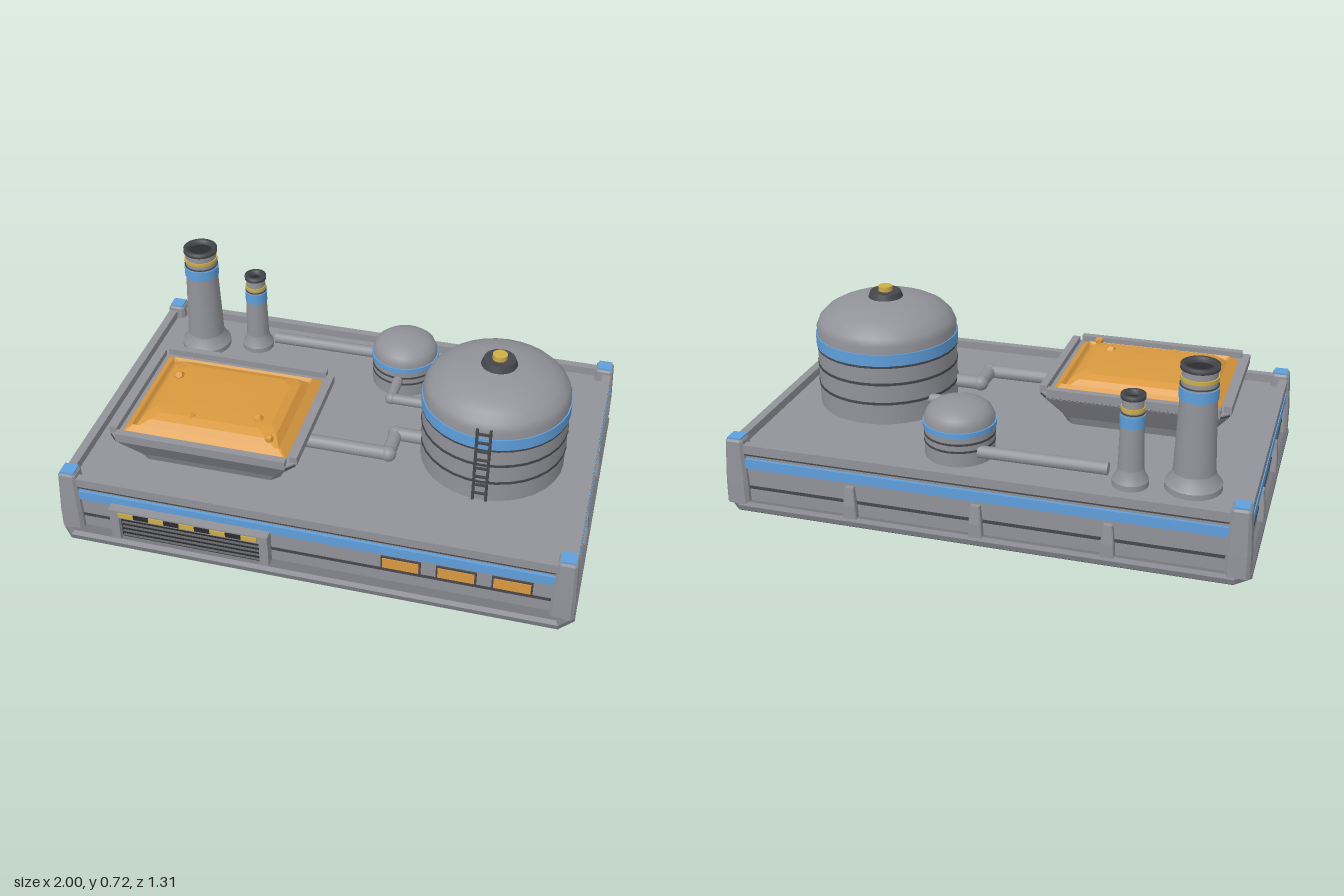
import * as THREE from 'three';

const mat = (name, color) => {
  const m = new THREE.MeshStandardMaterial({ color });
  m.name = name;
  return m;
};

// Stack of chamfered rectangles [halfX, halfZ, y, chamfer], faceted and capped
function loft(rings) {
  const pos = [];
  const loops = rings.map(([a, b, y, c = 0.004]) => [
    [a, y, -b + c], [a, y, b - c], [a - c, y, b], [-a + c, y, b],
    [-a, y, b - c], [-a, y, -b + c], [-a + c, y, -b], [a - c, y, -b],
  ]);
  const tri = (...p) => p.forEach((q) => pos.push(...q));
  const last = loops.length - 1;
  for (let i = 0; i < 8; i++) {
    const j = (i + 1) % 8;
    for (let k = 0; k < last; k++) {
      const a = loops[k][i], b = loops[k][j], c = loops[k + 1][j], d = loops[k + 1][i];
      tri(a, d, c);
      tri(a, c, b);
    }
    tri([0, rings[0][2], 0], loops[0][i], loops[0][j]);
    tri([0, rings[last][2], 0], loops[last][j], loops[last][i]);
  }
  const g = new THREE.BufferGeometry();
  g.setAttribute('position', new THREE.Float32BufferAttribute(pos, 3));
  g.computeVertexNormals();
  return g;
}

const lathe = (pts, n = 32) =>
  new THREE.LatheGeometry(pts.map(([r, y]) => new THREE.Vector2(r, y)), n);
const box = (x, y, z) => new THREE.BoxGeometry(x, y, z);
// Closed band from y0 to y1
const band = (r, y0, y1, n = 32) =>
  new THREE.CylinderGeometry(r, r, y1 - y0, n).translate(0, (y0 + y1) / 2, 0);

export function createModel() {
  const gray = mat('steel gray', 0x929399);
  const mid = mat('base gray', 0x77787e);
  const dark = mat('dark metal', 0x46474c);
  const black = mat('black', 0x2b2c2f);
  const blue = mat('blue trim', 0x5f9fdc);
  const orange = mat('orange', 0xd9993f);
  const yellow = mat('yellow', 0xcfae48);

  const model = new THREE.Group();
  model.name = 'industrialPlant';
  const group = (name, x = 0, y = 0, z = 0) => {
    const g = new THREE.Group();
    g.name = name;
    g.position.set(x, y, z);
    model.add(g);
    return g;
  };
  const add = (parent, name, geo, m, x = 0, y = 0, z = 0) => {
    const mesh = new THREE.Mesh(geo, m);
    mesh.name = name;
    mesh.position.set(x, y, z);
    parent.add(mesh);
    return mesh;
  };

  // Base slab and walled platform
  add(model, 'baseSlab', loft([
    [0.99, 0.645, 0, 0.05], [1, 0.655, 0.008, 0.055], [1, 0.655, 0.026, 0.055], [0.985, 0.64, 0.037, 0.05],
  ]), mid);
  const platform = group('platform', 0, 0, -0.012);
  add(platform, 'wallsAndDeck', loft([[0.97, 0.61, 0.03], [0.97, 0.61, 0.24]]), gray);
  add(platform, 'wallGroove', loft([[0.973, 0.613, 0.088], [0.973, 0.613, 0.1]]), dark);
  add(platform, 'blueStripe', loft([[0.982, 0.622, 0.177], [0.982, 0.622, 0.216]]), blue);
  for (const s of [-1, 1]) {
    add(platform, 'longRail', box(1.9, 0.037, 0.032), gray, 0, 0.2555, s * 0.604);
    add(platform, 'sideRail', box(0.034, 0.037, 1.2), gray, s * 0.963, 0.2555, 0);
    add(platform, 'longRailSeam', box(1.9, 0.006, 0.034), dark, 0, 0.234, s * 0.603);
    add(platform, 'sideRailSeam', box(0.036, 0.006, 1.2), dark, s * 0.962, 0.234, 0);
    for (const t of [-1, 1]) {
      add(platform, 'cornerPost', loft([
        [0.045, 0.045, 0.03, 0.012], [0.044, 0.044, 0.12, 0.012], [0.035, 0.036, 0.285, 0.01], [0.03, 0.031, 0.293, 0.008],
      ]), gray, s * 0.95, 0, t * 0.592);
      add(platform, 'postCap', box(0.055, 0.008, 0.055), blue, s * 0.95, 0.295, t * 0.592);
    }
  }

  // Tapered wall ribs on the sides and back
  const rib = loft([[0.027, 0.022, 0.035], [0.024, 0.022, 0.09], [0.017, 0.014, 0.16]]);
  for (const s of [-1, 1]) for (const z of [0.205, -0.205])
    add(platform, 'sideRib', rib, gray, s * 0.972, 0, z).rotation.y = Math.PI / 2;
  for (const x of [-0.49, 0, 0.49]) add(platform, 'backRib', rib, gray, x, 0, -0.614);

  // Front vent with louvres and a hazard strip
  const vent = group('frontVent', -0.462, 0, 0.6);
  add(vent, 'ventPanel', box(0.56, 0.115, 0.03), black, 0, 0.095, 0.005);
  for (let i = 0; i < 5; i++)
    add(vent, 'louvre', box(0.55, 0.009, 0.03), dark, 0, 0.05 + i * 0.021, 0.012).rotation.x = 0.5;
  add(vent, 'ventLintel', box(0.63, 0.035, 0.048), gray, 0, 0.169, 0.024);
  for (const s of [-1, 1]) add(vent, 'ventJamb', box(0.035, 0.12, 0.042), gray, s * 0.297, 0.095, 0.02);
  for (let i = 0; i < 9; i++)
    add(vent, 'hazardBlock', box(0.061, 0.02, 0.006), i % 2 ? black : yellow, (i - 4) * 0.061, 0.17, 0.049);

  // Lit windows
  for (const x of [0.35, 0.557, 0.763]) {
    add(model, 'windowFrame', box(0.15, 0.058, 0.008), dark, x, 0.132, 0.601);
    add(model, 'window', box(0.136, 0.046, 0.008), orange, x, 0.132, 0.604);
  }

  // Large storage tank
  const tank = group('largeTank', 0.58, 0, 0.015);
  add(tank, 'drum', lathe([[0, 0.24], [0.28, 0.24], [0.28, 0.24], [0.28, 0.5]]), gray);
  add(tank, 'dome', lathe([
    [0.28, 0.5], [0.28, 0.565], [0.268, 0.593], [0.24, 0.622], [0.205, 0.641], [0.165, 0.657], [0.11, 0.67], [0, 0.682],
  ]), gray);
  for (const y of [0.328, 0.41, 0.483]) add(tank, 'drumSeam', band(0.283, y - 0.005, y + 0.005), dark);
  add(tank, 'blueBand', band(0.285, 0.488, 0.535), blue);
  add(tank, 'domeCollar', new THREE.CylinderGeometry(0.06, 0.069, 0.024, 24), dark, 0, 0.686, 0);
  add(tank, 'domeValve', band(0.028, 0.695, 0.718, 16), yellow);
  for (const s of [-1, 1]) add(tank, 'ladderRail', box(0.01, 0.335, 0.01), dark, s * 0.025, 0.415, 0.29);
  for (let i = 0; i < 8; i++) add(tank, 'ladderRung', box(0.05, 0.008, 0.008), dark, 0, 0.28 + i * 0.04, 0.29);

  // Small domed tank
  const small = group('smallTank', 0.138, 0, -0.387);
  add(small, 'drum', lathe([[0, 0.24], [0.133, 0.24], [0.133, 0.24], [0.133, 0.37]]), gray);
  add(small, 'dome', lathe([
    [0.133, 0.37], [0.133, 0.395], [0.122, 0.42], [0.1, 0.438], [0.07, 0.45], [0.035, 0.456], [0, 0.458],
  ]), gray);
  for (const y of [0.3, 0.33]) add(small, 'drumSeam', band(0.135, y - 0.004, y + 0.004), dark);
  add(small, 'blueBand', band(0.139, 0.358, 0.378), blue);

  // Chimneys: flared foot, tapered stack, coloured bands, dark lip
  const chimney = (name, x, z, foot, r0, r1, top, blueY, yellowY) => {
    const g = group(name, x, 0, z);
    add(g, 'foot', lathe([[foot, 0.24], [foot, 0.24], [foot, 0.262], [foot, 0.262], [r0 * 1.12, 0.285], [r0, 0.31]], 24), gray);
    add(g, 'stack', lathe([[r0, 0.3], [(r0 + r1) / 2, 0.5], [r1, top - 0.01]], 24), gray);
    const rAt = (y) => r0 + (r1 - r0) * (y - 0.3) / (top - 0.31) + 0.004;
    add(g, 'blueBand', band(rAt(blueY[0]), ...blueY, 24), blue);
    add(g, 'yellowBand', band(rAt(yellowY[0]), ...yellowY, 24), yellow);
    add(g, 'bandSeam', band(rAt(blueY[1]), blueY[1] + 0.006, blueY[1] + 0.01, 24), dark);
    add(g, 'lip', lathe([
      [r1, top - 0.016], [r1 + 0.007, top - 0.016], [r1 + 0.007, top], [r1 - 0.012, top], [r1 - 0.012, top - 0.02],
    ], 24), dark);
    add(g, 'opening', band(r1 - 0.011, top - 0.03, top - 0.018, 24), black);
  };
  chimney('tallChimney', -0.752, -0.42, 0.105, 0.078, 0.063, 0.72, [0.595, 0.637], [0.664, 0.678]);
  chimney('shortChimney', -0.53, -0.46, 0.067, 0.048, 0.038, 0.597, [0.475, 0.52], [0.535, 0.55]);

  // Hopper with a framed rim and a heap of material
  const hopper = group('hopper', -0.46, 0, 0.173);
  add(hopper, 'hopperBody', loft([
    [0.28, 0.215, 0.24, 0.03], [0.295, 0.23, 0.275, 0.03], [0.355, 0.287, 0.36, 0.03],
    [0.365, 0.297, 0.375, 0.03], [0.365, 0.297, 0.39, 0.03],
  ]), gray);
  add(hopper, 'rimSeam', loft([[0.367, 0.299, 0.378, 0.03], [0.367, 0.299, 0.384, 0.03]]), dark);
  for (const s of [-1, 1]) {
    add(hopper, 'longRim', box(0.67, 0.035, 0.03), gray, 0, 0.398, s * 0.287);
    add(hopper, 'sideRim', box(0.03, 0.035, 0.53), gray, s * 0.357, 0.398, 0);
  }
  add(hopper, 'heap', loft([
    [0.34, 0.27, 0.38], [0.295, 0.227, 0.414, 0.006], [0.285, 0.217, 0.4, 0.01],
    [0.262, 0.194, 0.426, 0.03], [0.23, 0.16, 0.439, 0.04], [0.12, 0.08, 0.443, 0.03],
  ]), orange);
  for (const [x, z, r] of [[-0.215, -0.08, 0.026], [0.175, 0.105, 0.024], [-0.08, 0.15, 0.018], [0.245, 0.2, 0.018]])
    add(hopper, 'heapLump', new THREE.DodecahedronGeometry(r), orange, x, 0.432, z).rotation.set(x * 9, z * 7, r * 20);

  // Straight pipe runs with ball elbows at inner corners
  const pipe = (name, r, points) => {
    const g = group(name);
    const v = points.map((p) => new THREE.Vector3(...p));
    for (let i = 0; i + 1 < v.length; i++)
      add(g, 'pipeRun', new THREE.TubeGeometry(new THREE.LineCurve3(v[i], v[i + 1]), 1, r, 14), gray);
    for (const p of v.slice(1, -1))
      add(g, 'elbow', new THREE.SphereGeometry(r * 1.15, 16, 12), gray, p.x, p.y, p.z);
    return g;
  };
  pipe('hopperPipe', 0.027, [[-0.14, 0.313, 0.205], [0.207, 0.313, 0.205], [0.207, 0.313, 0.078], [0.33, 0.313, 0.078]]);
  pipe('tankLinkPipe', 0.021, [[0.138, 0.318, -0.26], [0.138, 0.318, -0.13], [0.36, 0.318, -0.13]]);
  const flue = pipe('fluePipe', 0.024, [[-0.445, 0.29, -0.463], [0.04, 0.29, -0.463]]);
  add(flue, 'pipeEnd', new THREE.CylinderGeometry(0.0245, 0.0245, 0.008, 14), gray, -0.445, 0.29, -0.463).rotation.z = Math.PI / 2;

  return model;
}
